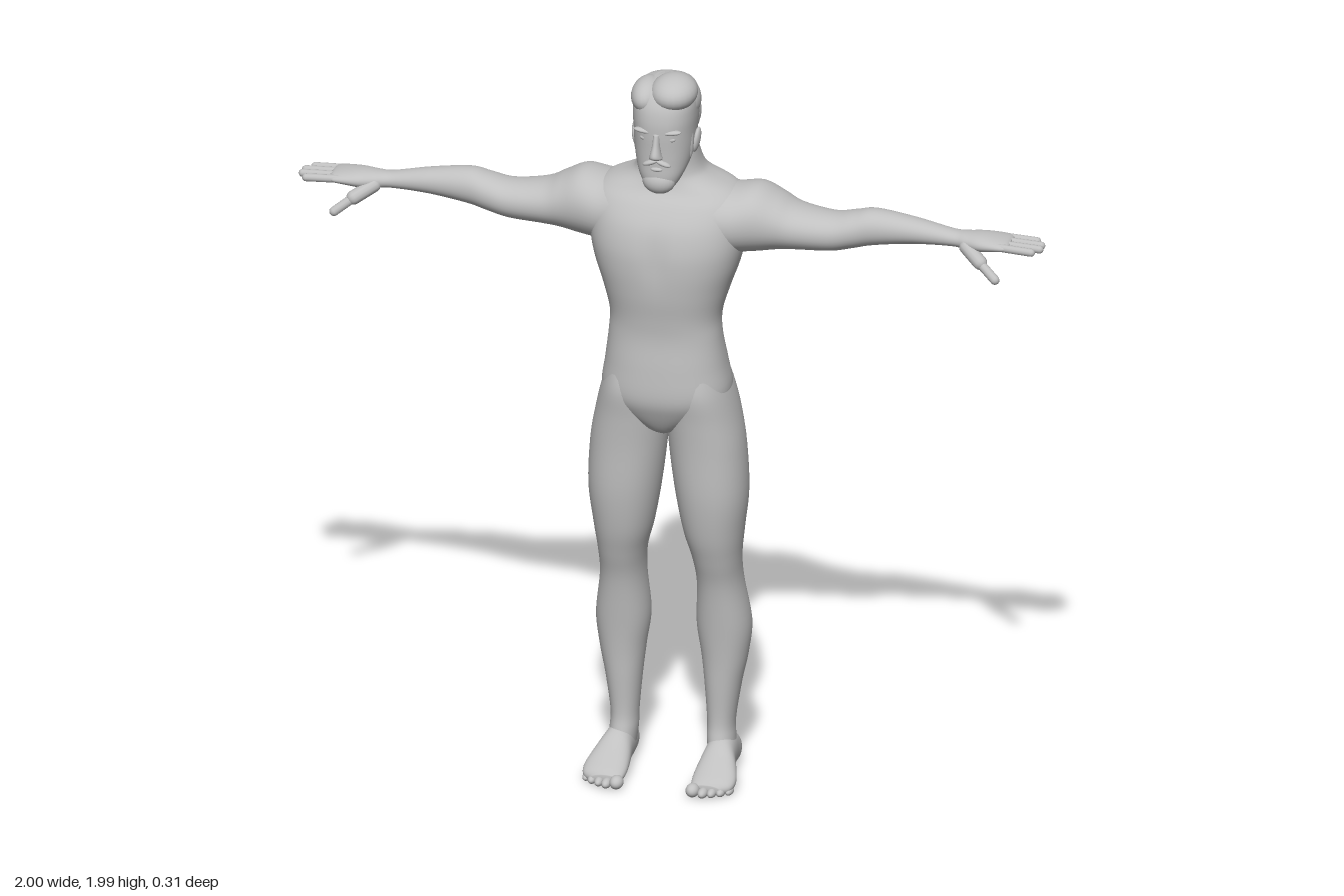
import * as THREE from 'three';

const skin = new THREE.MeshStandardMaterial({ color: 0xc0c0c0 });
skin.name = 'pale grey';

// Smooth value between table rows
const cubic = (a, b, c, d, t) =>
  b + 0.5 * t * (c - a + t * (2 * a - 5 * b + 4 * c - d + t * (3 * (b - c) + d - a)));

// Loft of rounded sections. Each row is [t, aMin, aMax, bMin, bMax], t rising; (t, a, b) run in
// cyclic axis order: 'x' -> x,y,z   'y' -> y,z,x   'z' -> z,x,y
function loft(axis, rows, { power = 2, sides = 40, steps = 5, bend } = {}) {
  const shift = { x: 0, y: 1, z: 2 }[axis];
  const pos = [], index = [], rings = [];
  const row = i => rows[Math.max(0, Math.min(rows.length - 1, i))];
  for (let i = 0; i < rows.length - 1; i++)
    for (let k = 0; k < steps; k++)
      rings.push(row(i).map((_, c) => cubic(row(i - 1)[c], row(i)[c], row(i + 1)[c], row(i + 2)[c], k / steps)));
  rings.push(rows[rows.length - 1]);
  const put = (t, a, b) => {
    const p = new THREE.Vector3();
    [t, a, b].forEach((v, k) => p.setComponent((k + shift) % 3, v));
    if (bend) bend(p);
    pos.push(p.x, p.y, p.z);
  };
  const round = v => Math.sign(v) * Math.abs(v) ** (2 / power);
  for (const [t, a0, a1, b0, b1] of rings)
    for (let j = 0; j < sides; j++) {
      const w = (j / sides) * Math.PI * 2;
      put(t, (a0 + a1) / 2 + ((a1 - a0) / 2) * round(Math.cos(w)),
        (b0 + b1) / 2 + ((b1 - b0) / 2) * round(Math.sin(w)));
    }
  for (let i = 0; i < rings.length - 1; i++)
    for (let j = 0; j < sides; j++) {
      const p = i * sides + j, q = i * sides + ((j + 1) % sides);
      index.push(p, q, p + sides, q, q + sides, p + sides);
    }
  // End caps
  const first = rings.length * sides, last = first - sides;
  for (const [t, a0, a1, b0, b1] of [rings[0], rings[rings.length - 1]]) put(t, (a0 + a1) / 2, (b0 + b1) / 2);
  for (let j = 0; j < sides; j++) {
    const n = (j + 1) % sides;
    index.push(first, n, j, first + 1, last + j, last + n);
  }
  const g = new THREE.BufferGeometry();
  g.setAttribute('position', new THREE.Float32BufferAttribute(pos, 3));
  g.setIndex(index);
  g.computeVertexNormals();
  return g;
}

// Rows symmetrical in x: [y, back, front, halfWidth]
const symmetric = rows => rows.map(([y, back, front, w]) => [y, back, front, -w, w]);

const blob = (x, y, z, rx, ry, rz, tiltX = 0, tiltZ = 0) =>
  new THREE.SphereGeometry(1, 24, 16).scale(rx, ry, rz).rotateX(tiltX).rotateZ(tiltZ).translate(x, y, z);

// Rounded rod between two points
function digit(from, to, radius) {
  const a = new THREE.Vector3(...from), b = new THREE.Vector3(...to), d = b.clone().sub(a);
  const turn = new THREE.Quaternion().setFromUnitVectors(new THREE.Vector3(0, 1, 0), d.clone().normalize());
  const mid = a.add(b).multiplyScalar(0.5);
  return new THREE.CapsuleGeometry(radius, d.length(), 6, 12).applyQuaternion(turn).translate(mid.x, mid.y, mid.z);
}

function mirrored(geometry) {
  const g = geometry.clone().scale(-1, 1, 1), ix = g.index.array;
  for (let i = 0; i < ix.length; i += 3) [ix[i], ix[i + 1]] = [ix[i + 1], ix[i]];
  return g;
}

export function createModel() {
  const model = new THREE.Group();
  model.name = 'standing man';
  const add = (name, geometry) => {
    const mesh = new THREE.Mesh(geometry, skin);
    mesh.name = name;
    model.add(mesh);
  };
  const pair = (name, geometry) => {
    add('left ' + name, geometry);
    add('right ' + name, mirrored(geometry));
  };

  // Torso and neck, with a shallow groove down the spine and the breastbone
  add('torso', loft('y', symmetric([
    [0.98, -0.06, 0.05, 0.02], [1.0, -0.09, 0.082, 0.06], [1.05, -0.122, 0.112, 0.14],
    [1.1, -0.13, 0.128, 0.17], [1.18, -0.113, 0.126, 0.16], [1.26, -0.088, 0.12, 0.149],
    [1.32, -0.1, 0.124, 0.147], [1.39, -0.13, 0.134, 0.166], [1.46, -0.15, 0.139, 0.19],
    [1.52, -0.157, 0.136, 0.203], [1.58, -0.157, 0.12, 0.206], [1.63, -0.15, 0.09, 0.203],
    [1.662, -0.143, 0.062, 0.175], [1.69, -0.132, 0.05, 0.112], [1.72, -0.115, 0.046, 0.086],
    [1.79, -0.08, 0.045, 0.073], [1.85, -0.07, 0.04, 0.068],
  ]), {
    power: 2.3, sides: 64, bend: p => {
      const groove = Math.exp(-((p.x / 0.028) ** 2));
      if (p.z < -0.06) p.z += 0.012 * groove * Math.exp(-(((p.y - 1.35) / 0.2) ** 2))
        + 0.03 * groove * Math.exp(-(((p.y - 1.02) / 0.06) ** 2));
      if (p.z > 0.08) p.z -= 0.006 * groove * Math.exp(-(((p.y - 1.5) / 0.07) ** 2));
    },
  }));

  // Legs, from ankle to hip
  pair('leg', loft('y', [
    [0.05, -0.11, 0.01, 0.1, 0.17], [0.1, -0.108, -0.002, 0.094, 0.167], [0.15, -0.11, -0.01, 0.093, 0.166],
    [0.25, -0.125, -0.005, 0.085, 0.181], [0.33, -0.138, 0.0, 0.076, 0.197], [0.42, -0.145, 0.01, 0.064, 0.206],
    [0.54, -0.124, 0.028, 0.07, 0.19], [0.62, -0.106, 0.052, 0.063, 0.19], [0.7, -0.11, 0.075, 0.042, 0.199],
    [0.81, -0.119, 0.092, 0.022, 0.211], [0.94, -0.122, 0.098, 0.006, 0.205], [1.03, -0.131, 0.105, 0.002, 0.19],
    [1.11, -0.127, 0.113, 0.012, 0.17], [1.18, -0.1, 0.1, 0.04, 0.145],
  ], { power: 2.15 }));

  // Feet and toes
  pair('foot', loft('z', [
    [-0.131, 0.12, 0.155, 0.02, 0.06], [-0.12, 0.107, 0.168, 0.003, 0.085], [-0.07, 0.1, 0.172, 0, 0.112],
    [-0.01, 0.096, 0.18, 0, 0.108], [0.04, 0.09, 0.196, 0.002, 0.08], [0.08, 0.088, 0.204, 0, 0.058],
    [0.11, 0.092, 0.196, 0.002, 0.042], [0.125, 0.1, 0.17, 0.008, 0.03],
  ], { power: 2.15 }));
  [[0.102, 0.132, 0.018], [0.129, 0.131, 0.013], [0.151, 0.122, 0.012], [0.172, 0.11, 0.012], [0.191, 0.094, 0.011]]
    .forEach(([x, z, r], i) => pair('toe ' + (i + 1), blob(x, r, z, r, r, 0.024)));

  // Arms, from inside the chest to the palm
  pair('arm', loft('x', [
    [0.06, 1.5, 1.675, -0.154, 0.1], [0.11, 1.495, 1.672, -0.156, 0.092], [0.17, 1.487, 1.664, -0.157, 0.074],
    [0.235, 1.49, 1.67, -0.155, 0.054], [0.29, 1.498, 1.645, -0.145, 0.036], [0.34, 1.503, 1.621, -0.132, 0.026],
    [0.43, 1.508, 1.609, -0.116, 0.015], [0.49, 1.521, 1.62, -0.108, 0.008], [0.545, 1.534, 1.63, -0.101, 0],
    [0.65, 1.547, 1.615, -0.094, -0.014], [0.75, 1.55, 1.594, -0.086, -0.026], [0.79, 1.549, 1.594, -0.088, -0.015],
    [0.83, 1.55, 1.597, -0.095, 0], [0.87, 1.556, 1.594, -0.1, 0.004], [0.9, 1.561, 1.589, -0.099, 0.002],
    [0.91, 1.567, 1.583, -0.09, -0.008],
  ], { power: 2.1 }));

  // Fingers and thumbs
  [[-0.088, 0.968], [-0.062, 0.986], [-0.036, 0.988], [-0.01, 0.972]].forEach(([z, tip], i) =>
    pair('finger ' + (i + 1), digit([0.87, 1.577, z * 0.95], [tip, 1.571, z], 0.0105)));
  pair('thumb base', digit([0.795, 1.562, -0.025], [0.84, 1.536, 0.008], 0.019));
  pair('thumb tip', digit([0.84, 1.536, 0.01], [0.886, 1.502, 0.032], 0.0125));

  // Skull, face and jaw
  add('head', loft('y', symmetric([
    [1.682, 0.06, 0.094, 0.018], [1.695, 0.03, 0.108, 0.04], [1.725, 0, 0.113, 0.058],
    [1.76, -0.045, 0.113, 0.071], [1.8, -0.073, 0.114, 0.078], [1.84, -0.086, 0.116, 0.081],
    [1.88, -0.09, 0.115, 0.084], [1.92, -0.088, 0.105, 0.083], [1.955, -0.068, 0.08, 0.068], [1.97, -0.03, 0.04, 0.03],
  ]), { power: 2.25 }));
  add('nose', loft('y', symmetric([
    [1.778, 0.1, 0.118, 0.012], [1.785, 0.1, 0.137, 0.018], [1.795, 0.1, 0.144, 0.015],
    [1.82, 0.1, 0.133, 0.01], [1.85, 0.1, 0.122, 0.008],
  ]), { sides: 20 }));
  pair('brow', blob(0.034, 1.853, 0.102, 0.03, 0.007, 0.013, 0, 0.1));
  pair('eye', blob(0.033, 1.833, 0.099, 0.015, 0.008, 0.01));
  pair('moustache', blob(0.017, 1.768, 0.11, 0.022, 0.007, 0.011, 0, -0.35));
  add('lower lip', blob(0, 1.75, 0.111, 0.016, 0.006, 0.008));
  add('beard', blob(0, 1.71, 0.086, 0.044, 0.036, 0.032, -0.2));
  pair('ear', blob(0.081, 1.803, 0.012, 0.01, 0.034, 0.02, -0.2, -0.15));
  pair('sideburn', blob(0.07, 1.81, 0.038, 0.01, 0.05, 0.014));

  // Swept-back hair with a side parting
  add('hair crown', blob(0, 1.905, 0, 0.088, 0.068, 0.096));
  add('hair back', blob(0, 1.865, -0.026, 0.083, 0.085, 0.068));
  add('hair sweep', blob(0.028, 1.944, 0.04, 0.062, 0.046, 0.07, 0.1));
  add('hair parting', blob(-0.043, 1.928, 0.034, 0.043, 0.044, 0.068, 0.1, 0.2));
  return model;
}
